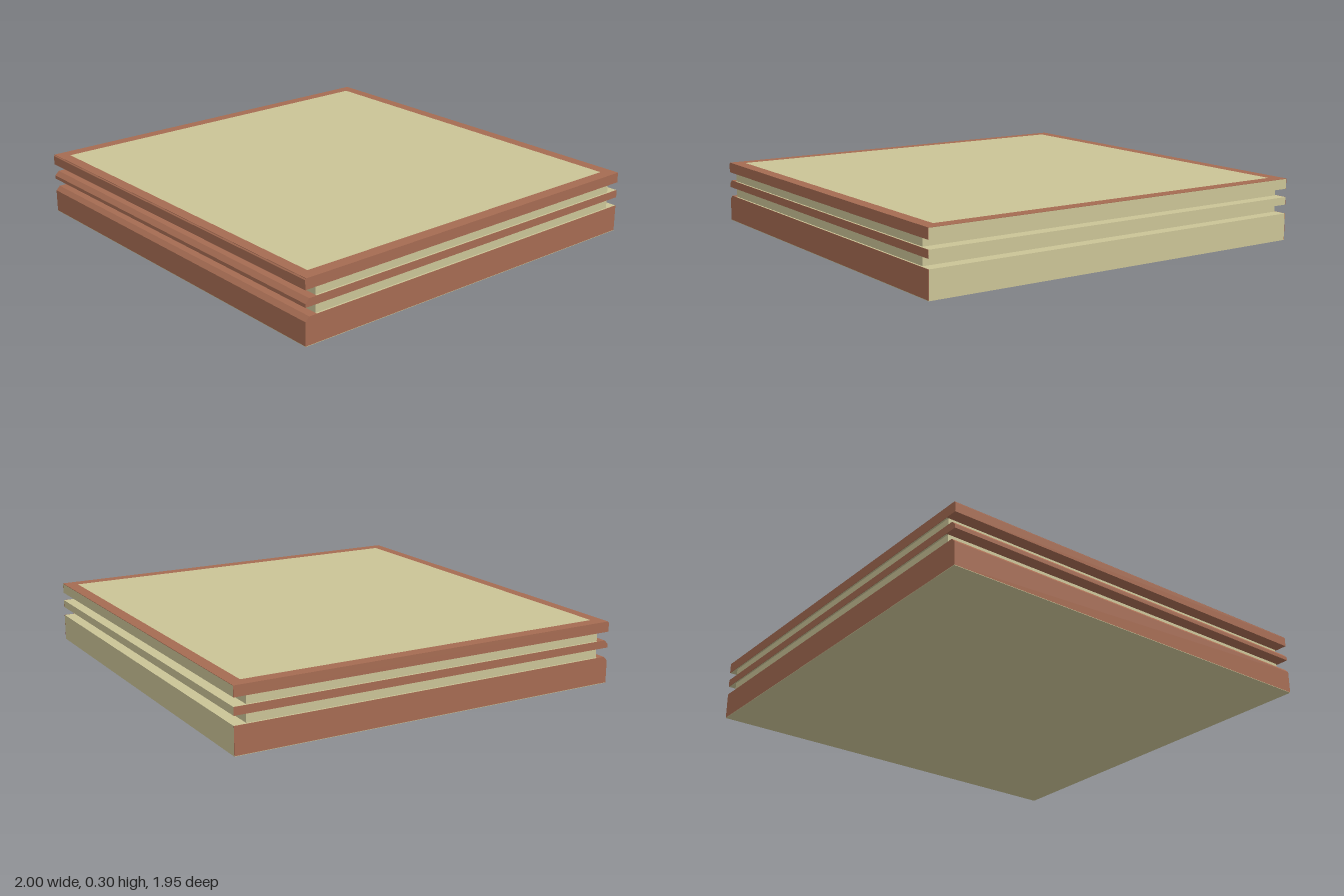
import * as THREE from 'three';

const BROWN = new THREE.MeshStandardMaterial({ color: 0xa56b52 });
const CREAM = new THREE.MeshStandardMaterial({ color: 0xcac396 });

const HALF_X = 1, HALF_Z = 0.975; // overall half sizes
const CORE_Z = 0.915;             // half depth of the recessed layers
const SKIN = 0.002;               // thickness of coloured facings

export function createModel() {
  const group = new THREE.Group();

  const add = (name, geometry, material) => {
    const mesh = new THREE.Mesh(geometry, material);
    mesh.name = name;
    group.add(mesh);
    return mesh;
  };

  // Box given by its minimum and maximum corners
  const box = (name, [x0, y0, z0], [x1, y1, z1], material) =>
    add(name, new THREE.BoxGeometry(x1 - x0, y1 - y0, z1 - z0), material)
      .position.set((x0 + x1) / 2, (y0 + y1) / 2, (z0 + z1) / 2);

  // Projecting slab: cream core, brown sides, brown front strip with a chamfered top edge
  const slab = (name, y0, y1, chamfer) => {
    const inner = HALF_X - SKIN;
    box(name + 'Core', [-inner, y0, -HALF_Z], [inner, y1, CORE_Z], CREAM);
    for (const [side, x] of [['Left', inner], ['Right', -HALF_X]]) {
      box(name + side + 'Facing', [x, y0, -HALF_Z], [x + SKIN, y1, CORE_Z], BROWN);
    }
    // Profile in (-z, y), extruded along x
    const profile = new THREE.Shape([
      [-CORE_Z, y0], [-CORE_Z, y1], [-HALF_Z + chamfer, y1],
      [-HALF_Z, y1 - chamfer], [-HALF_Z, y0],
    ].map(([u, y]) => new THREE.Vector2(u, y)));
    const strip = new THREE.ExtrudeGeometry(profile, { depth: 2 * HALF_X, bevelEnabled: false });
    strip.rotateY(Math.PI / 2).translate(-HALF_X, 0, 0);
    add(name + 'FrontStrip', strip, BROWN);
  };

  // Recessed layer between two slabs
  const recess = (name, y0, y1) =>
    box(name, [-0.99, y0, -CORE_Z], [0.99, y1, CORE_Z], CREAM);

  // Stack from the ground up
  box('underside', [-HALF_X, 0, -HALF_Z], [HALF_X, SKIN, HALF_Z], CREAM);
  slab('base', SKIN, 0.13, 0.02);
  recess('lowerRecess', 0.13, 0.173);
  slab('middleSlab', 0.173, 0.21, 0.02);
  recess('upperRecess', 0.21, 0.25);
  slab('topSlab', 0.25, 0.3 - SKIN, 0.005);

  // Brown border around the top, with the cream panel flush inside it
  const rectangle = (Type, x, z0, z1) => new Type([
    [-x, z0], [x, z0], [x, z1], [-x, z1],
  ].map(([a, b]) => new THREE.Vector2(a, b)));
  const frame = rectangle(THREE.Shape, HALF_X, -HALF_Z + 0.005, HALF_Z);
  frame.holes.push(rectangle(THREE.Path, 0.94, -CORE_Z, CORE_Z));
  const border = new THREE.ExtrudeGeometry(frame, { depth: SKIN, bevelEnabled: false });
  border.rotateX(-Math.PI / 2).translate(0, 0.3 - SKIN, 0);
  add('topBorder', border, BROWN);
  box('topPanel', [-0.94, 0.3 - SKIN, -CORE_Z], [0.94, 0.3, CORE_Z], CREAM);

  return group;
}
